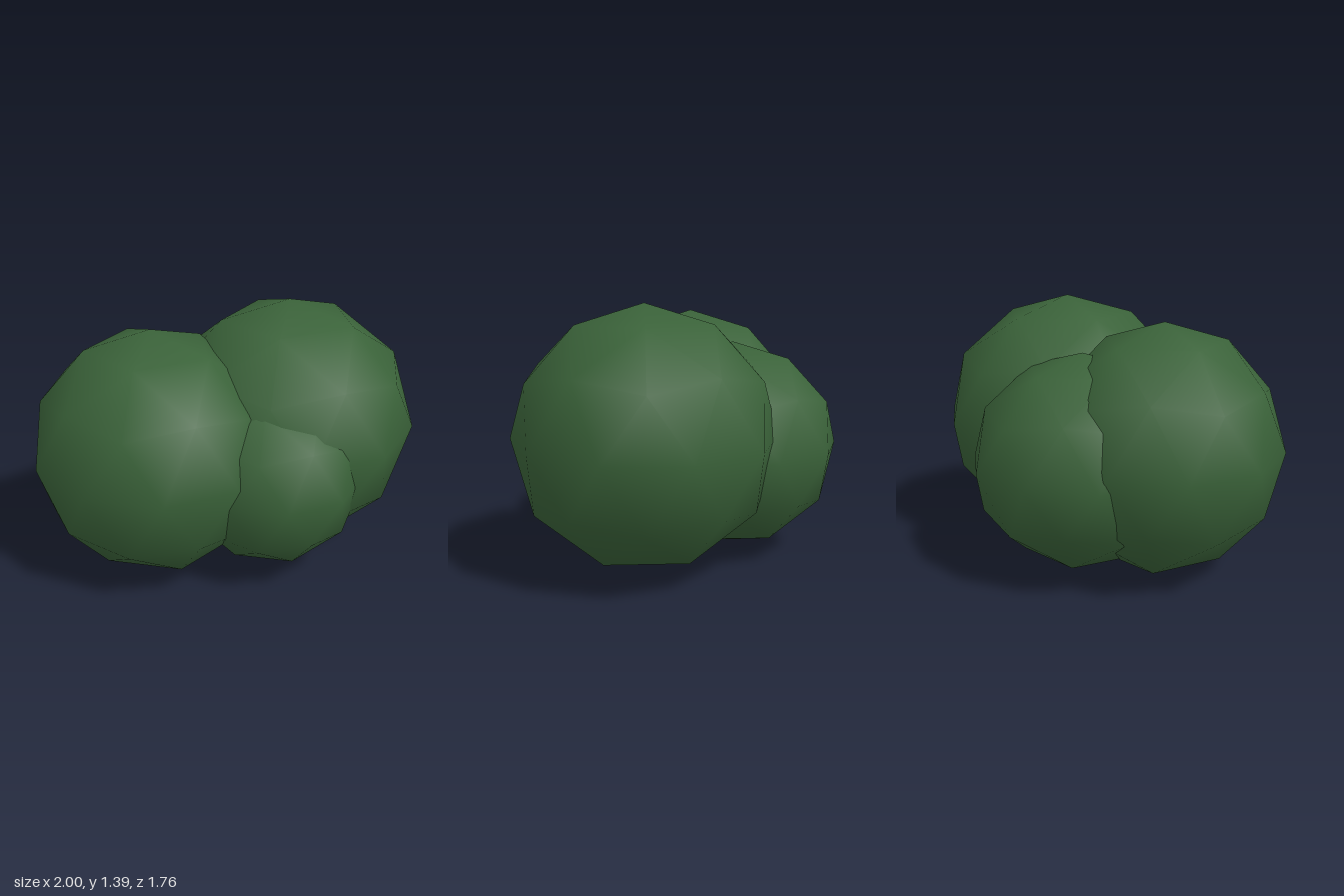
import * as THREE from 'three';

export function createModel() {
  const group = new THREE.Group();
  group.name = 'bush';

  const foliage = new THREE.MeshStandardMaterial({ color: 0x3a6239 });
  foliage.name = 'foliage green';

  // Smooth low-poly ball with a corner at its top and bottom
  const ball = new THREE.IcosahedronGeometry(1, 1);
  ball.rotateZ(-Math.atan2(2, 1 + Math.sqrt(5)));

  // Overlapping clumps: name, centre, radii
  const clumps = [
    ['largeClump', [0.325, 0.71, 0.19], [0.705, 0.682, 0.687]],
    ['sideClump', [-0.4, 0.66, -0.09], [0.632, 0.66, 0.655]],
    ['backClump', [-0.04, 0.6, -0.3], [0.588, 0.565, 0.58]],
    ['frontClump', [0.02, 0.56, 0.365], [0.487, 0.505, 0.5]],
  ];
  for (const [name, centre, radii] of clumps) {
    const mesh = new THREE.Mesh(ball, foliage);
    mesh.name = name;
    mesh.position.set(...centre);
    mesh.scale.set(...radii);
    group.add(mesh);
  }
  return group;
}
